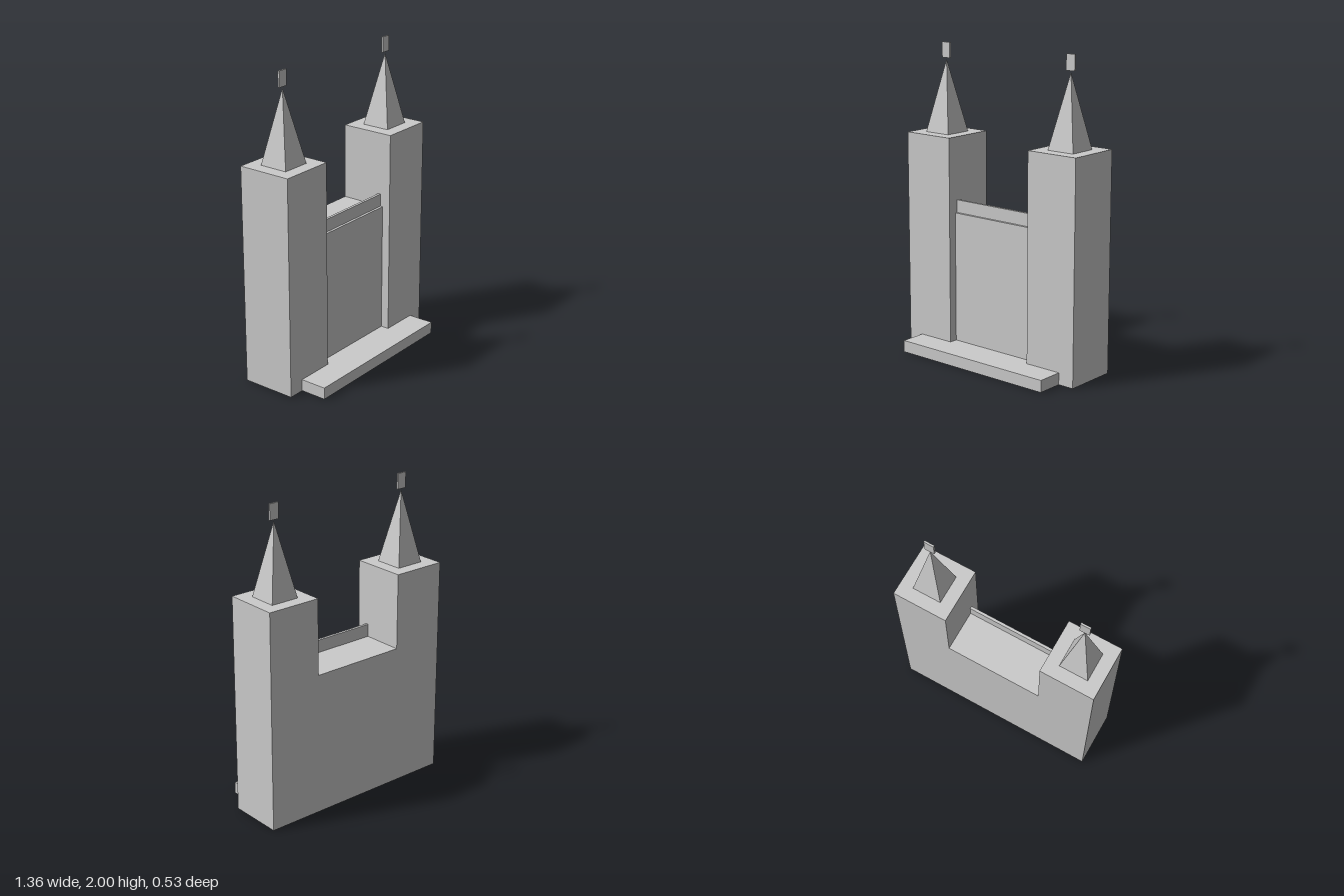
import * as THREE from 'three';

const material = new THREE.MeshStandardMaterial({ color: 0xcccccc, flatShading: true });

// Box given by its lower and upper limits on each axis
function block(name, [x0, x1], [y0, y1], [z0, z1]) {
  const mesh = new THREE.Mesh(new THREE.BoxGeometry(x1 - x0, y1 - y0, z1 - z0), material);
  mesh.name = name;
  mesh.position.set((x0 + x1) / 2, (y0 + y1) / 2, (z0 + z1) / 2);
  return mesh;
}

// Square tower with a pyramid spire and a thin plate floating above its tip
function tower(name, x) {
  const group = new THREE.Group();
  group.name = name;
  const z = -0.09, top = 1.423, tip = 1.891, half = 0.095;

  const spireGeometry = new THREE.ConeGeometry(half * Math.SQRT2, tip - top, 4, 1);
  spireGeometry.rotateY(Math.PI / 4);
  const spire = new THREE.Mesh(spireGeometry, material);
  spire.name = 'spire';
  spire.position.set(0, (top + tip) / 2, z);

  group.add(
    block('towerShaft', [-0.18, 0.18], [0, top], [-0.27, 0.09]),
    spire,
    block('finialPlate', [-0.032, 0.032], [1.9, 2], [z - 0.006, z + 0.006]),
  );
  group.position.x = x;
  return group;
}

export function createModel() {
  const model = new THREE.Group();
  model.name = 'gatehouse';
  model.add(
    tower('leftTower', 0.5),
    tower('rightTower', -0.5),
    // Wall between the towers, its parapet set back from the front face
    block('curtainWall', [-0.32, 0.32], [0, 0.931], [-0.27, 0.035]),
    block('parapet', [-0.32, 0.32], [0.931, 1.014], [0, 0.018]),
    // Low step running across the front, reaching back to the wall
    block('frontStep', [-0.573, 0.573], [0, 0.077], [0.03, 0.265]),
  );
  return model;
}
